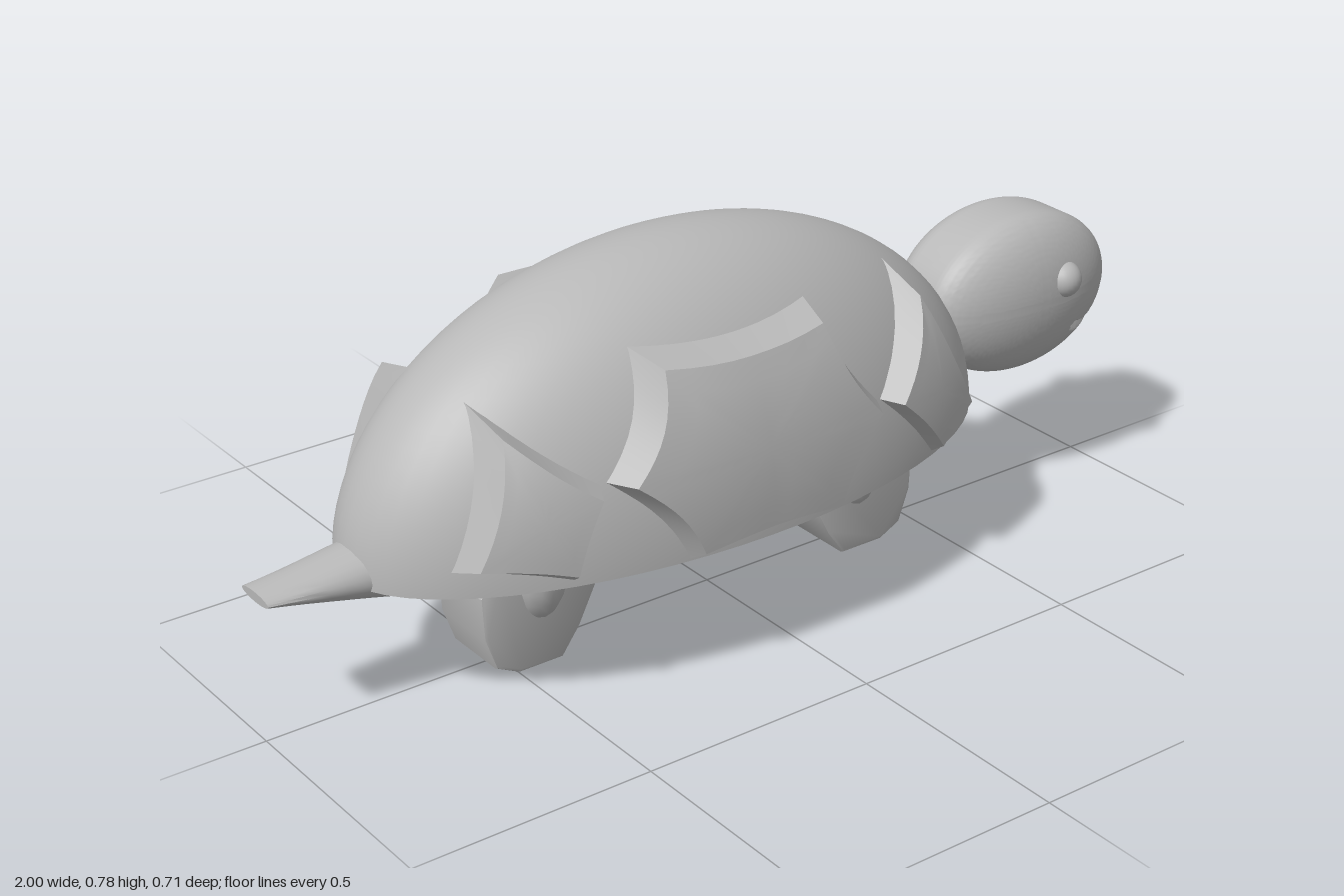
import * as THREE from 'three';
import { toCreasedNormals } from 'three/addons/utils/BufferGeometryUtils.js';

const SHELL = { x: -0.095, y: 0.28, rx: 0.725, ry: 0.51, rz: 0.33 };

// Half-width of the dome at a point of its side elevation
function domeZ(x, y) {
  const u = (x - SHELL.x) / SHELL.rx, v = (y - SHELL.y) / SHELL.ry;
  return SHELL.rz * Math.sqrt(Math.max(0, 1 - u * u - v * v));
}

// Bevelled plate that follows the dome; corners run counter-clockwise
function plateGeometry(corners, inset, side) {
  const n = corners.length, steps = 8, outline = [];
  const cx = corners.reduce((s, c) => s + c[0], 0) / n;
  const cy = corners.reduce((s, c) => s + c[1], 0) / n;
  corners.forEach(([ax, ay], i) => {
    const [bx, by] = corners[(i + 1) % n];
    for (let k = 0; k < steps; k++) {
      const t = k / steps, bow = 1 - 0.28 * t * (1 - t);
      outline.push([
        cx + (ax + (bx - ax) * t - cx) * bow,
        cy + (ay + (by - ay) * t - cy) * bow,
      ]);
    }
  });
  const rings = [1, inset, inset * 0.75, inset * 0.5, inset * 0.25, 0.001];
  const pos = [], index = [], m = outline.length;
  rings.forEach((s, r) => {
    for (const [px, py] of outline) {
      const x = cx + (px - cx) * s, y = cy + (py - cy) * s;
      const lift = r === 0 ? -0.008
        : 0.02 + 0.11 * (y - SHELL.y) + 0.03 * Math.abs(x - SHELL.x);
      pos.push(x, y, side * (domeZ(x, y) + lift));
    }
  });
  for (let r = 0; r < rings.length - 1; r++) {
    for (let i = 0; i < m; i++) {
      const a = r * m + i, b = r * m + (i + 1) % m, c = a + m, d = b + m;
      if (side > 0) index.push(a, b, d, a, d, c);
      else index.push(a, d, b, a, c, d);
    }
  }
  const g = new THREE.BufferGeometry();
  g.setAttribute('position', new THREE.Float32BufferAttribute(pos, 3));
  g.setIndex(index);
  return toCreasedNormals(g, 0.5);
}

// Rounded head with a flat central band and a smile pressed into each cheek
function headGeometry() {
  const g = new THREE.CapsuleGeometry(1, 0.8, 36, 144);
  g.rotateX(Math.PI / 2);
  g.scale(0.235, 0.171, 0.1);
  const p = g.attributes.position;
  for (let i = 0; i < p.count; i++) {
    const x = p.getX(i), y = p.getY(i), z = p.getZ(i);
    const dx = x - 0.14, dy = y + 0.015;
    const angle = Math.atan2(dy, dx);
    const off = Math.abs(Math.hypot(dx, dy) - 0.075);
    if (Math.abs(z) > 0.045 && angle > -2.1 && angle < 0 && off < 0.013) {
      const k = 1 - 0.1 * (1 - off / 0.013);
      p.setXYZ(i, x * k, y * k, z * k);
    }
  }
  return toCreasedNormals(g, 0.45);
}

export function createModel() {
  const model = new THREE.Group();
  const grey = new THREE.MeshStandardMaterial({ color: 0xb8b8b8 });
  grey.name = 'light grey';

  function add(name, geometry, x = 0, y = 0, z = 0) {
    const mesh = new THREE.Mesh(geometry, grey);
    mesh.name = name;
    mesh.position.set(x, y, z);
    model.add(mesh);
    return mesh;
  }

  // Shell dome and shallow belly
  const dome = new THREE.SphereGeometry(1, 64, 24, 0, Math.PI * 2, 0, Math.PI / 2);
  dome.scale(SHELL.rx, SHELL.ry, SHELL.rz);
  add('shellDome', dome, SHELL.x, SHELL.y);

  const profile = [];
  for (let i = 0; i <= 10; i++) profile.push(new THREE.Vector2(i / 10, (i / 10) ** 2 - 1));
  const belly = new THREE.LatheGeometry(profile, 64);
  belly.scale(SHELL.rx + 0.003, 0.08, SHELL.rz + 0.008);
  add('belly', belly, SHELL.x, SHELL.y);

  // Side plates
  const plates = [
    ['rearPlate', 0.8, [[-0.61, 0.615], [-0.705, 0.33], [-0.50, 0.29], [-0.435, 0.465]]],
    ['middlePlate', 0.89, [[-0.32, 0.675], [-0.43, 0.465], [-0.28, 0.28], [0.08, 0.28], [0.2, 0.455], [0.08, 0.675]]],
    ['frontPlate', 0.8, [[0.35, 0.655], [0.2, 0.455], [0.36, 0.285], [0.505, 0.34]]],
  ];
  for (const side of [1, -1]) {
    for (const [name, inset, corners] of plates) {
      add(name, plateGeometry(corners, inset, side));
    }
  }

  // Head and eyes
  add('head', headGeometry(), 0.765, 0.455);
  for (const side of [1, -1]) {
    add('eye', new THREE.SphereGeometry(0.039, 24, 16), 0.83, 0.49, side * 0.118);
  }

  // Tail: flattened cone, pointed in side view and blunt from above
  const tail = new THREE.CylinderGeometry(1, 1, 1, 24, 6);
  const p = tail.attributes.position;
  for (let i = 0; i < p.count; i++) {
    const t = p.getY(i) + 0.5, a = p.getX(i), b = p.getZ(i);
    p.setXYZ(i,
      -0.765 - 0.235 * t - 0.02 * a * (1 - t),
      0.29 + 0.015 * t + a * (0.06 - 0.05 * t),
      b * (0.075 - 0.027 * t));
  }
  add('tail', toCreasedNormals(tail, 0.6));

  // Legs: wide rounded slabs with a bulge on both faces, the pair mirrored in x
  const outline = [[-0.54, 0.245], [-0.58, 0.19], [-0.575, 0.1], [-0.55, 0.03], [-0.5, 0.005],
    [-0.4, 0.005], [-0.36, 0.06], [-0.315, 0.15], [-0.305, 0.245]];
  for (const front of [false, true]) {
    const mapX = (x) => (front ? -0.11 - x : x);
    const shape = new THREE.Shape(outline.map(([x, y]) => new THREE.Vector2(mapX(x), y)));
    const slab = new THREE.ExtrudeGeometry(shape, {
      depth: 0.14, bevelEnabled: true, bevelThickness: 0.008,
      bevelSize: 0.008, bevelOffset: -0.008, bevelSegments: 2,
    });
    slab.translate(0, 0, -0.07);
    add(front ? 'frontLeg' : 'rearLeg', toCreasedNormals(slab, 0.6));

    const bulge = new THREE.SphereGeometry(1, 20, 14);
    bulge.scale(0.075, 0.13, 0.113);
    add(front ? 'frontLegBulge' : 'rearLegBulge', bulge, mapX(-0.44), 0.2);
  }

  return model;
}
